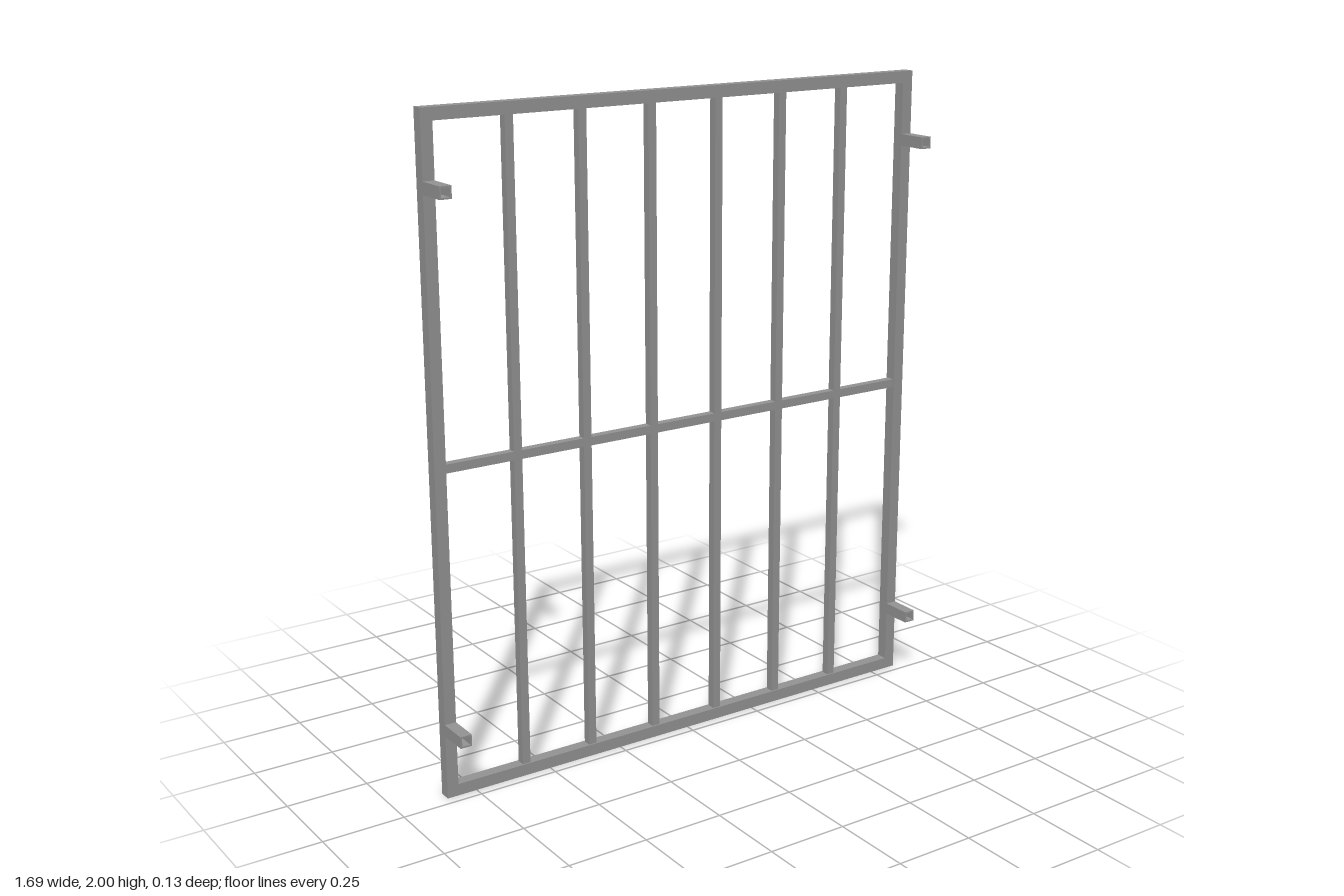
import * as THREE from 'three';

const HALF_W = 0.845, HEIGHT = 2, TUBE = 0.036, BAR = 0.026;
const BACK = -0.066, FRONT = 0.066;
const FRAME_Z = BACK + TUBE / 2;

function rectangle(Type, w, h) {
  const p = new Type();
  p.moveTo(-w / 2, -h / 2);
  p.lineTo(w / 2, -h / 2);
  p.lineTo(w / 2, h / 2);
  p.lineTo(-w / 2, h / 2);
  p.closePath();
  return p;
}

export function createModel() {
  const group = new THREE.Group();
  const steel = new THREE.MeshStandardMaterial({ color: 0x949494 });
  steel.name = 'grey steel';

  const add = (name, geometry, x, y, z) => {
    const mesh = new THREE.Mesh(geometry, steel);
    mesh.name = name;
    mesh.position.set(x, y, z);
    group.add(mesh);
  };

  // Outer frame of square tube
  const outline = rectangle(THREE.Shape, HALF_W * 2, HEIGHT);
  outline.holes.push(rectangle(THREE.Path, (HALF_W - TUBE) * 2, HEIGHT - TUBE * 2));
  add('outerFrame', new THREE.ExtrudeGeometry(outline, { depth: TUBE, bevelEnabled: false }), 0, HEIGHT / 2, BACK);

  // Six upright bars, dividing the opening into seven equal bays
  const innerW = (HALF_W - TUBE) * 2;
  const barGeometry = new THREE.BoxGeometry(BAR, HEIGHT - TUBE * 2, BAR);
  for (let i = 1; i <= 6; i++) {
    add('uprightBar' + i, barGeometry, -innerW / 2 + (innerW * i) / 7, HEIGHT / 2, FRAME_Z);
  }

  // Middle rail, in short lengths between the uprights
  const bay = innerW / 7;
  for (let i = 0; i < 7; i++) {
    const left = -innerW / 2 + bay * i + (i > 0 ? BAR / 2 : 0);
    const right = -innerW / 2 + bay * (i + 1) - (i < 6 ? BAR / 2 : 0);
    add('middleRail' + (i + 1), new THREE.BoxGeometry(right - left, BAR, BAR), (left + right) / 2, HEIGHT / 2, FRAME_Z);
  }

  // Four hollow mounting stubs on the front of the side posts
  const section = rectangle(THREE.Shape, TUBE, TUBE);
  section.holes.push(rectangle(THREE.Path, TUBE - 0.01, TUBE - 0.01));
  const stub = new THREE.ExtrudeGeometry(section, { depth: FRONT - BACK - TUBE, bevelEnabled: false });
  for (const side of [-1, 1]) {
    for (const y of [0.216, 1.788]) {
      const name = (side > 0 ? 'left' : 'right') + (y > 1 ? 'Upper' : 'Lower') + 'Mount';
      add(name, stub, side * (HALF_W - TUBE / 2), y, BACK + TUBE);
    }
  }
  return group;
}
